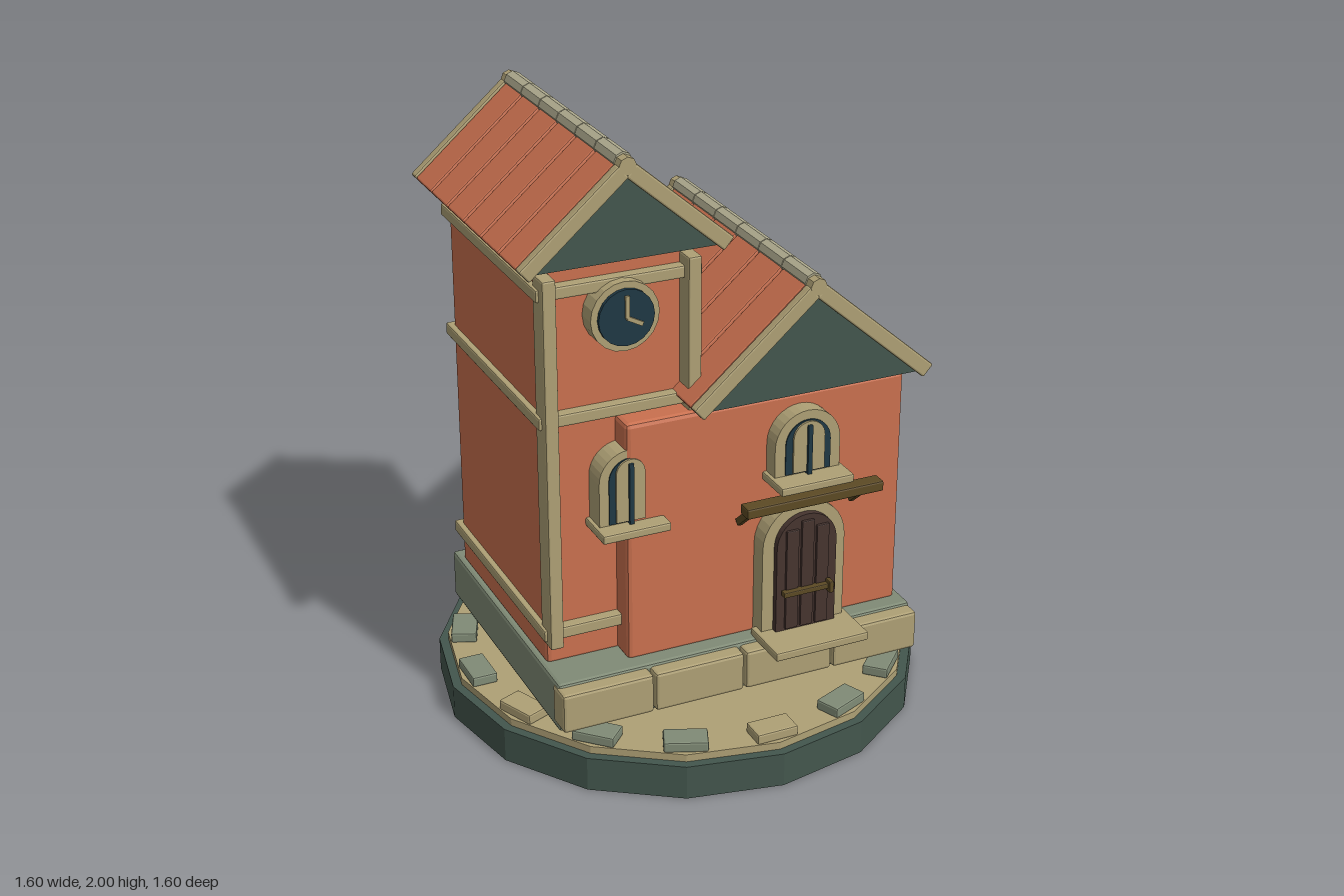
import * as THREE from 'three';
import { RoundedBoxGeometry } from 'three/addons/geometries/RoundedBoxGeometry.js';

const mat = (name, color) => {
  const m = new THREE.MeshStandardMaterial({ color });
  m.name = name;
  return m;
};

export function createModel() {
  const model = new THREE.Group();
  model.name = 'clockTowerHouse';

  const brick = mat('terracotta', 0xc9704f);
  const sand = mat('sandstone', 0xaea075);
  const stone = mat('greyGreenStone', 0x808b76);
  const green = mat('darkGreen', 0x43564d);
  const ridgeMat = mat('paleRidge', 0xaeaa8e);
  const doorMat = mat('darkDoorWood', 0x46342f);
  const wood = mat('oliveWood', 0x5c4a24);
  const navy = mat('navyGlass', 0x1f3844);

  const add = (name, geometry, material, x = 0, y = 0, z = 0, parent = model) => {
    const flat = geometry.index ? geometry.toNonIndexed() : geometry;
    flat.computeVertexNormals();
    const mesh = new THREE.Mesh(flat, material);
    mesh.name = name;
    mesh.position.set(x, y, z);
    parent.add(mesh);
    return mesh;
  };

  // Chamfered block given by its limits on each axis
  const block = (name, material, [x0, x1], [y0, y1], [z0, z1], bevel = 0.006, parent = model) =>
    add(name, new RoundedBoxGeometry(x1 - x0, y1 - y0, z1 - z0, 1, bevel), material,
      (x0 + x1) / 2, (y0 + y1) / 2, (z0 + z1) / 2, parent);

  // Round-headed outline standing on y = 0
  const archPath = (Type, r, spring, y0 = 0) => {
    const p = new Type();
    p.moveTo(-r, y0);
    p.lineTo(r, y0);
    p.lineTo(r, spring);
    p.absarc(0, spring, r, 0, Math.PI, false);
    p.lineTo(-r, y0);
    return p;
  };
  const arch = (name, material, r, spring, x, y, z0, z1, hole = 0) => {
    const shape = archPath(THREE.Shape, r, spring);
    if (hole) shape.holes.push(archPath(THREE.Path, hole, spring, 0.005));
    return add(name, new THREE.ExtrudeGeometry(shape,
      { depth: z1 - z0, bevelEnabled: false, curveSegments: 8 }), material, x, y, z0);
  };

  // Round base with a ring of paving stones
  add('basePlinth', new THREE.CylinderGeometry(0.8, 0.8, 0.115, 16), green, 0, 0.0575, 0);
  add('baseGround', new THREE.CylinderGeometry(0.77, 0.77, 0.025, 16), sand, 0, 0.1275, 0);
  for (let i = 1; i <= 16; i++) {
    const a = i * Math.PI / 8;
    const paver = add('pavingStone', new RoundedBoxGeometry(0.085, 0.035, 0.14, 1, 0.006),
      i % 3 === 1 ? sand : stone, 0.713 * Math.cos(a), 0.156, 0.713 * Math.sin(a));
    paver.rotation.y = -a;
  }

  // Foundation with facing blocks
  block('foundation', stone, [-0.62, 0.62], [0.172, 0.34], [-0.48, 0.48], 0.012);
  for (let i = 0; i < 4; i++) {
    const x = -0.625 + i * 0.3125;
    block('foundationBlock', sand, [x, x + 0.305], [0.197, 0.33], [0.44, 0.53], 0.01);
  }

  // Walls
  block('houseWalls', brick, [-0.36, 0.595], [0.33, 1.15], [-0.415, 0.42], 0.015);
  block('towerWalls', brick, [-0.6, -0.105], [0.33, 1.69], [-0.425, 0.335], 0.015);

  // Tower trim
  for (const y of [0.455, 1.18, 1.59])
    block('towerBand', sand, [-0.62, -0.085], [y - 0.02, y + 0.02], [-0.445, 0.37]);
  for (const x of [-0.588, -0.122])
    block('towerPost', sand, [x - 0.022, x + 0.022], [0.42, 1.645], [0.32, 0.4]);

  // Gabled roof: solid core, tile strips, barge boards and ridge caps
  const tilt = 0.716, cos = Math.cos(tilt), sin = Math.sin(tilt);
  const roof = (name, cx, apex, len, back, front) => {
    const g = new THREE.Group();
    g.name = name;
    g.position.set(cx, apex, 0);
    model.add(g);
    const core = new THREE.Shape([[-len * cos, -len * sin], [len * cos, -len * sin], [0, 0]]
      .map(([x, y]) => new THREE.Vector2(x, y)));
    add('gableCore', new THREE.ExtrudeGeometry(core, { depth: front - back - 0.08, bevelEnabled: false }),
      green, 0, 0, back + 0.04, g);
    const inner = [back + 0.033, front - 0.033];
    const pitch = (inner[1] - inner[0]) / 6;
    for (const s of [-1, 1]) {
      const slope = new THREE.Group();
      slope.name = 'roofSlope';
      slope.rotation.z = -s * tilt;
      g.add(slope);
      const span = s > 0 ? [0, len] : [-len, 0];
      for (let i = 0; i < 6; i++) {
        const z = inner[0] + i * pitch;
        block('roofTileStrip', brick, span, [0, 0.038], [z + 0.006, z + pitch - 0.006], 0.006, slope);
      }
      for (const z of [back, front - 0.033])
        block('bargeBoard', sand, span, [-0.008, 0.042], [z, z + 0.033], 0.006, slope);
    }
    for (let i = 0; i < 6; i++) {
      const cap = add('ridgeCap', new THREE.CylinderGeometry(0.03, 0.03, pitch - 0.004, 8), ridgeMat,
        0, 0.032, inner[0] + (i + 0.5) * pitch, g);
      cap.rotation.x = Math.PI / 2;
    }
    for (const z of [back + 0.017, front - 0.017]) {
      const end = add('ridgeEnd', new THREE.CylinderGeometry(0.028, 0.028, 0.034, 8), sand, 0, 0.028, z, g);
      end.rotation.x = Math.PI / 2;
    }
  };
  roof('houseRoof', 0.235, 1.5, 0.508, -0.51, 0.51);
  roof('towerRoof', -0.35, 1.94, 0.416, -0.51, 0.43);

  // Door with arched surround, boards, bar and step
  arch('doorFrame', sand, 0.145, 0.315, 0.22, 0.34, 0.41, 0.482, 0.1);
  arch('door', doorMat, 0.105, 0.3, 0.22, 0.36, 0.43, 0.503);
  for (const [x, top] of [[0.167, 0.72], [0.22, 0.745], [0.273, 0.72]])
    block('doorBoard', doorMat, [x - 0.022, x + 0.022], [0.37, top], [0.495, 0.512], 0.003);
  block('doorBar', wood, [0.13, 0.31], [0.495, 0.513], [0.505, 0.53], 0.003);
  block('doorHandle', wood, [0.285, 0.3], [0.485, 0.525], [0.51, 0.542], 0.003);
  block('doorStep', sand, [0.057, 0.385], [0.333, 0.363], [0.44, 0.625]);

  // Canopy beam on slanted brackets
  block('canopyBeam', wood, [-0.025, 0.45], [0.828, 0.863], [0.52, 0.572]);
  for (const x of [0.015, 0.41]) {
    const brace = add('canopyBracket', new RoundedBoxGeometry(0.02, 0.025, 0.15, 1, 0.004), wood, x, 0.797, 0.488);
    brace.rotation.x = -0.72;
  }

  // Arched windows: surround, glass, inner panes and mullion
  const windowAt = (name, x, y, r, spring, wall, face, sillFront) => {
    arch(name + 'Frame', sand, r, spring, x, y, wall, face, r * 0.68);
    arch(name + 'Glass', navy, r * 0.69, spring, x, y + 0.005, wall, face + 0.004);
    arch(name + 'Panes', sand, r * 0.48, spring + 0.015, x, y + 0.01, face, face + 0.011);
    block(name + 'Mullion', navy, [x - 0.008, x + 0.008], [y, y + spring + r * 0.6],
      [face, face + 0.02], 0.002);
    block(name + 'Sill', sand, [x - r - 0.013, x + r + 0.013], [y - 0.027, y + 0.002], [wall, sillFront]);
  };
  windowAt('houseWindow', 0.227, 0.898, 0.113, 0.1, 0.41, 0.478, 0.555);
  windowAt('towerWindow', -0.348, 0.82, 0.1, 0.145, 0.32, 0.415, 0.475);

  // Clock
  const disc = (name, r, z0, z1, material) => {
    const m = add(name, new THREE.CylinderGeometry(r, r, z1 - z0, 20), material, -0.35, 1.495, (z0 + z1) / 2);
    m.rotation.x = Math.PI / 2;
  };
  disc('clockRim', 0.111, 0.33, 0.4, sand);
  disc('clockFace', 0.09, 0.39, 0.412, navy);
  const hand = (name, length, angle) => {
    const m = add(name, new THREE.BoxGeometry(0.013, length, 0.008), sand,
      -0.35 + Math.sin(angle) * length / 2, 1.495 + Math.cos(angle) * length / 2, 0.416);
    m.rotation.z = -angle;
  };
  hand('minuteHand', 0.07, 0);
  hand('hourHand', 0.055, 2.05);

  return model;
}
